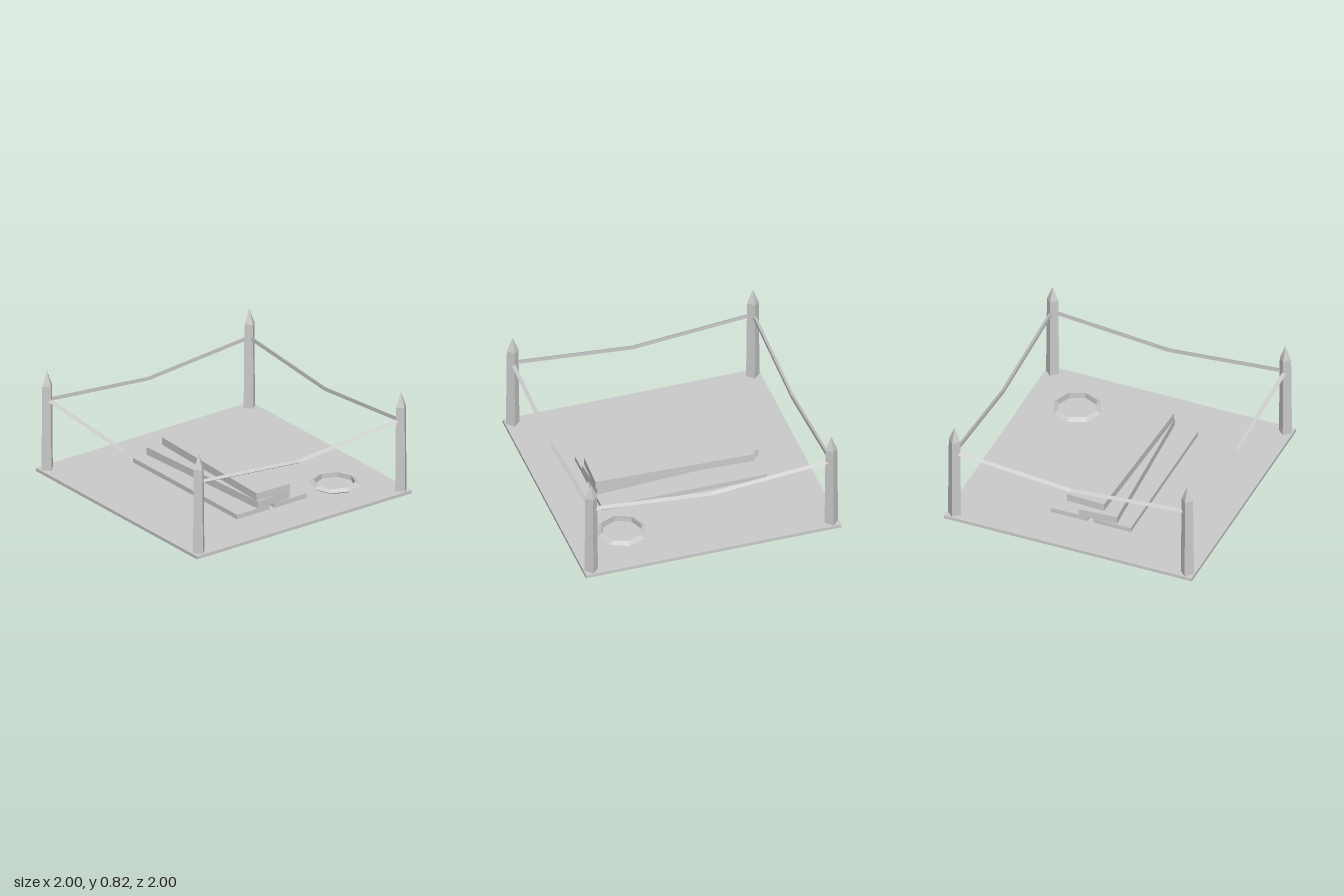
import * as THREE from 'three';

export function createModel() {
  const model = new THREE.Group();
  const material = new THREE.MeshStandardMaterial({ color: 0xcccccc, flatShading: true });

  function add(name, geometry, x, y, z, parent = model) {
    const mesh = new THREE.Mesh(geometry, material);
    mesh.name = name;
    mesh.position.set(x, y, z);
    parent.add(mesh);
    return mesh;
  }

  // Ground slab
  add('base', new THREE.BoxGeometry(2, 0.025, 2), 0, 0.0125, 0);

  // Corner posts: four-sided, set diagonally, with pointed tips
  const shaft = new THREE.CylinderGeometry(0.046, 0.053, 0.68, 4);
  const tip = new THREE.ConeGeometry(0.046, 0.12, 4);
  for (const x of [-0.94, 0.94]) {
    for (const z of [-0.94, 0.94]) {
      const post = new THREE.Group();
      post.name = 'post';
      post.position.set(x, 0, z);
      model.add(post);
      add('postShaft', shaft, 0, 0.365, 0, post);
      add('postTip', tip, 0, 0.763, 0, post);
    }
  }

  // Sagging ropes: two three-sided lengths per side, ridge facing outward
  const span = 0.91, sag = 0.08;
  const ropeHalf = new THREE.CylinderGeometry(0.0175, 0.0175, Math.hypot(span, sag), 3);
  ropeHalf.rotateZ(Math.PI / 2);
  for (let side = 0; side < 4; side++) {
    const rope = new THREE.Group();
    rope.name = 'rope';
    rope.rotation.y = side * Math.PI / 2;
    model.add(rope);
    for (const s of [-1, 1]) {
      const half = add('ropeHalf', ropeHalf, s * span / 2, 0.549, 0.941, rope);
      half.rotation.z = s * Math.atan2(sag, span);
    }
  }

  // Stack of planks: two side by side, two laid askew on top
  const planks = [
    // length, height, width, x, y, z, turn
    [1.29, 0.037, 0.3, -0.003, 0.0435, 0.21, 0],
    [1.29, 0.037, 0.3, -0.003, 0.0435, -0.14, 0],
    [1.29, 0.06, 0.305, -0.003, 0.092, 0.055, 0.058],
    [1.235, 0.06, 0.303, 0.02, 0.152, -0.004, -0.037],
  ];
  for (const [length, height, width, x, y, z, turn] of planks) {
    add('plank', new THREE.BoxGeometry(length, height, width), x, y, z).rotation.y = turn;
  }

  // Eight-sided ring with a triangular section lying on the slab
  const ring = new THREE.TorusGeometry(0.167, 0.0235, 3, 8);
  ring.rotateX(Math.PI / 2);
  add('ring', ring, 0.585, 0.043, -0.59);

  return model;
}
